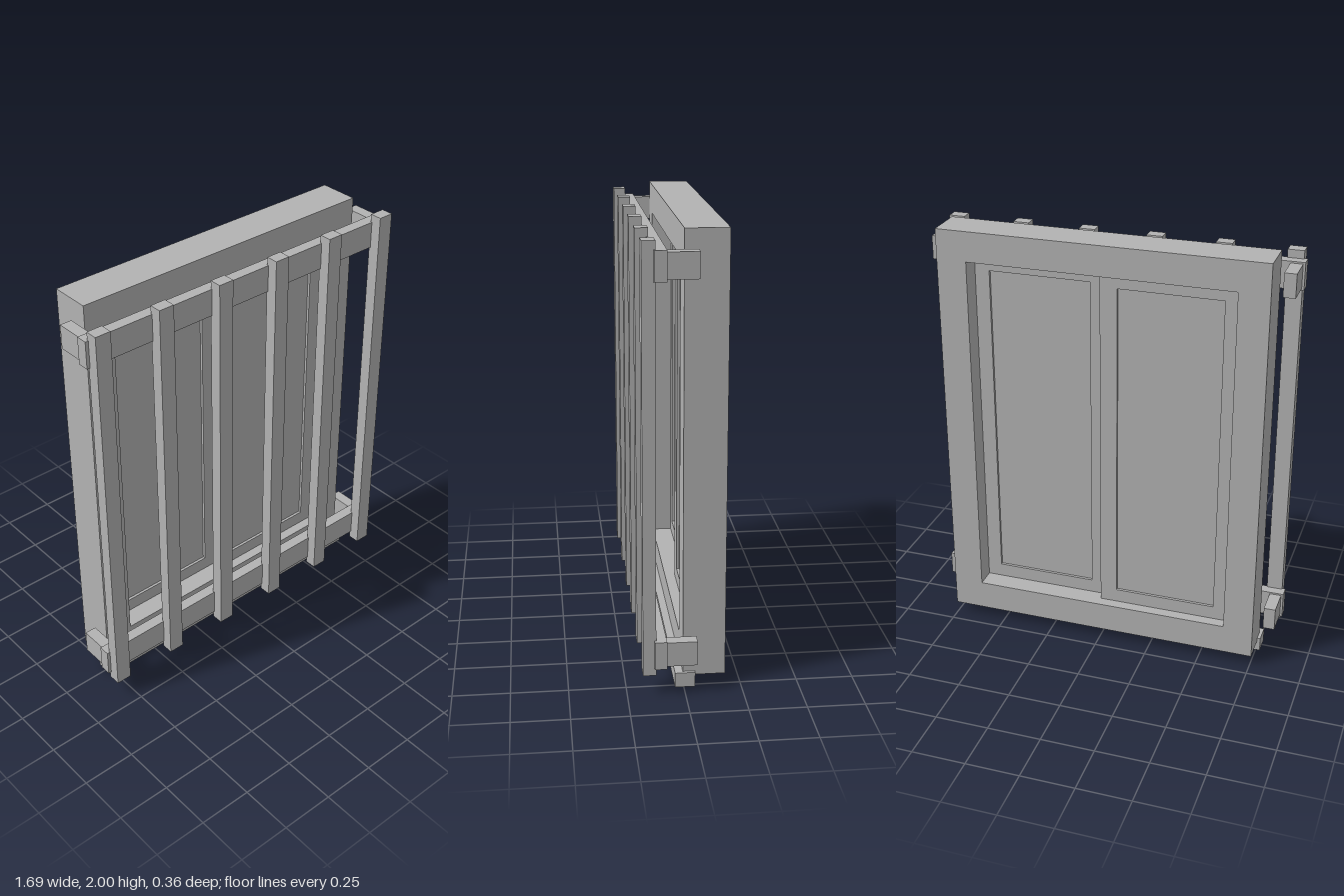
import * as THREE from 'three';

const grey = new THREE.MeshStandardMaterial({ color: 0xb3b3b3 });
grey.name = 'plain grey';

// Box given by its extents along each axis
function box(name, [x0, x1], [y0, y1], [z0, z1]) {
  const mesh = new THREE.Mesh(new THREE.BoxGeometry(x1 - x0, y1 - y0, z1 - z0), grey);
  mesh.position.set((x0 + x1) / 2, (y0 + y1) / 2, (z0 + z1) / 2);
  mesh.name = name;
  return mesh;
}

function rectangle(path, [x0, x1], [y0, y1]) {
  path.moveTo(x0, y0);
  path.lineTo(x1, y0);
  path.lineTo(x1, y1);
  path.lineTo(x0, y1);
  path.closePath();
  return path;
}

// Rectangular frame with a rectangular opening
function frame(name, outerX, outerY, innerX, innerY, [z0, z1]) {
  const shape = rectangle(new THREE.Shape(), outerX, outerY);
  shape.holes.push(rectangle(new THREE.Path(), innerX, innerY));
  const geometry = new THREE.ExtrudeGeometry(shape, { depth: z1 - z0, bevelEnabled: false });
  const mesh = new THREE.Mesh(geometry, grey);
  mesh.position.z = z0;
  mesh.name = name;
  return mesh;
}

// Sliding sash: stiles and rails around a recessed pane
function sash(name, outerX, paneX, [z0, z1]) {
  const group = new THREE.Group();
  group.name = name;
  const paneY = [0.255, 1.795];
  group.add(frame('sashFrame', outerX, [0.19, 1.86], paneX, paneY, [z0, z1]));
  group.add(box('pane', paneX, paneY, [z0 + 0.013, z1 - 0.013]));
  return group;
}

export function createModel() {
  const model = new THREE.Group();
  model.name = 'barredWindow';

  // Deep surround and sill
  model.add(frame('surround', [-0.755, 0.755], [0.05, 2], [-0.615, 0.615], [0.19, 1.86], [-0.182, 0.003]));
  model.add(box('sill', [-0.77, 0.77], [0, 0.067], [-0.05, 0.038]));

  // Two overlapping sashes on separate tracks
  model.add(sash('rearSash', [-0.615, 0.01], [-0.55, -0.07], [-0.13, -0.09]));
  model.add(sash('frontSash', [-0.01, 0.615], [0.07, 0.547], [-0.085, -0.045]));

  // Security grille: cross rails, side brackets and upright bars
  const grille = new THREE.Group();
  grille.name = 'grille';
  for (const y of [0.19, 1.865]) {
    grille.add(box('crossRail', [-0.845, 0.845], [y - 0.063, y + 0.063], [0.08, 0.133]));
    for (const side of [-1, 1]) {
      const bracket = box('bracket', [-0.0275, 0.0275], [y - 0.055, y + 0.055], [-0.052, 0.085]);
      bracket.position.x = side * 0.807;
      grille.add(bracket);
    }
  }
  for (let i = 0; i < 6; i++) {
    const x = -0.793 + i * 0.316;
    grille.add(box('uprightBar', [x - 0.037, x + 0.037], [0.09, 1.965], [0.125, 0.182]));
  }
  model.add(grille);

  return model;
}
